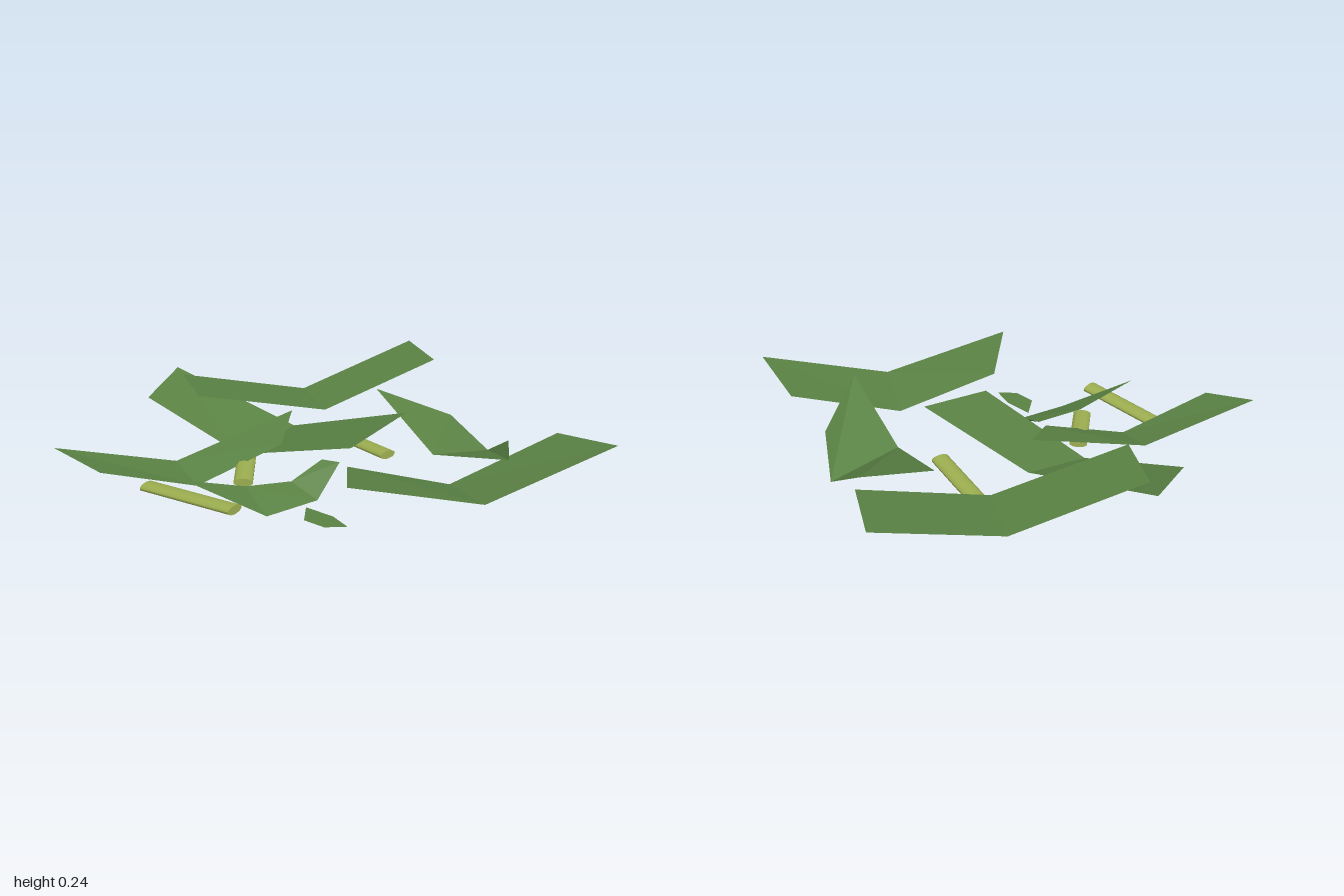
import * as THREE from 'three';

const leafGreen = new THREE.MeshStandardMaterial({ color: 0x5a8244, side: THREE.DoubleSide });
leafGreen.name = 'leaf green';
leafGreen.flatShading = true;
const stemGreen = new THREE.MeshStandardMaterial({ color: 0x9cae50 });
stemGreen.name = 'stem yellow green';

// Folded leaf: rows of points across the blade, joined by flat panels
function leaf(name, rows) {
  const pos = [];
  for (let i = 0; i + 1 < rows.length; i++) {
    const poly = [...rows[i], ...[...rows[i + 1]].reverse()];
    for (let k = 1; k + 1 < poly.length; k++) pos.push(...poly[0], ...poly[k], ...poly[k + 1]);
  }
  const geo = new THREE.BufferGeometry();
  geo.setAttribute('position', new THREE.Float32BufferAttribute(pos, 3));
  geo.computeVertexNormals();
  const mesh = new THREE.Mesh(geo, leafGreen);
  mesh.name = name;
  return mesh;
}

// Flattened stem piece lying between two points
function stem(name, a, b) {
  const from = new THREE.Vector3(...a), to = new THREE.Vector3(...b);
  const geo = new THREE.CylinderGeometry(0.036, 0.036, from.distanceTo(to), 10);
  geo.rotateX(Math.PI / 2).scale(1, 0.45, 1);
  const mesh = new THREE.Mesh(geo, stemGreen);
  mesh.position.copy(from).lerp(to, 0.5);
  mesh.lookAt(to);
  mesh.name = name;
  return mesh;
}

export function createModel() {
  const group = new THREE.Group();
  group.name = 'leafLitter';
  group.add(
    // Long leaves creased once across the middle, each row back then front
    leaf('backLeaf', [
      [[-0.61, 0.245, -0.33], [-0.525, 0.245, -0.09]],
      [[-0.13, 0.11, -0.53], [-0.04, 0.11, -0.285]],
      [[0.32, 0.245, -0.75], [0.41, 0.245, -0.505]],
    ]),
    leaf('frontLeaf', [
      [[0.04, 0.195, 0.465], [0.035, 0.245, 0.745]],
      [[0.41, 0.067, 0.335], [0.51, 0.105, 0.585]],
      [[0.815, 0.2, 0.175], [0.99, 0.245, 0.4]],
    ]),
    leaf('middleLeaf', [
      [[-0.64, 0.245, -0.415], [-0.73, 0.21, -0.165]],
      [[-0.16, 0.11, -0.12], [-0.36, 0.07, 0.07]],
      [[0.265, 0.245, 0.085], [0.055, 0.2, 0.315]],
    ]),
    leaf('sideLeaf', [
      [[-1, 0.215, 0.345], [-0.82, 0.17, 0.46]],
      [[-0.59, 0.085, 0.165], [-0.5, 0.05, 0.31]],
      [[-0.165, 0.205, -0.04], [-0.2, 0.15, 0.16]],
    ]),
    // Curved leaf with a clipped outer edge
    leaf('curvedLeaf', [
      [[0.46, 0.11, -0.23], [0.165, 0.2, -0.285]],
      [[0.6, 0.005, -0.12], [0.37, 0.065, 0.065]],
      [[0.655, 0.12, 0.055], [0.61, 0.19, 0.4]],
    ]),
    // Small curled leaf and a flat scrap
    leaf('smallLeaf', [
      [[-0.52, 0.17, 0.525]],
      [[-0.32, 0.09, 0.4], [-0.24, 0.03, 0.52]],
      [[-0.16, 0.07, 0.315], [-0.065, 0.03, 0.39]],
      [[-0.05, 0.13, 0.255], [0.015, 0.13, 0.28]],
    ]),
    leaf('leafScrap', [
      [[-0.105, 0.03, 0.447]],
      [[-0.01, 0.03, 0.52], [-0.11, 0.03, 0.55]],
      [[0.04, 0.03, 0.6], [-0.04, 0.03, 0.605]],
    ]),
    // Broken stems
    stem('backStem', [-0.025, 0.03, -0.27], [0.2, 0.05, 0.03]),
    stem('sideStem', [-0.68, 0.062, 0.335], [-0.345, 0.09, 0.59]),
    stem('middleStem', [-0.33, 0.09, 0.37], [-0.33, 0.095, 0.13]),
  );
  return group;
}
